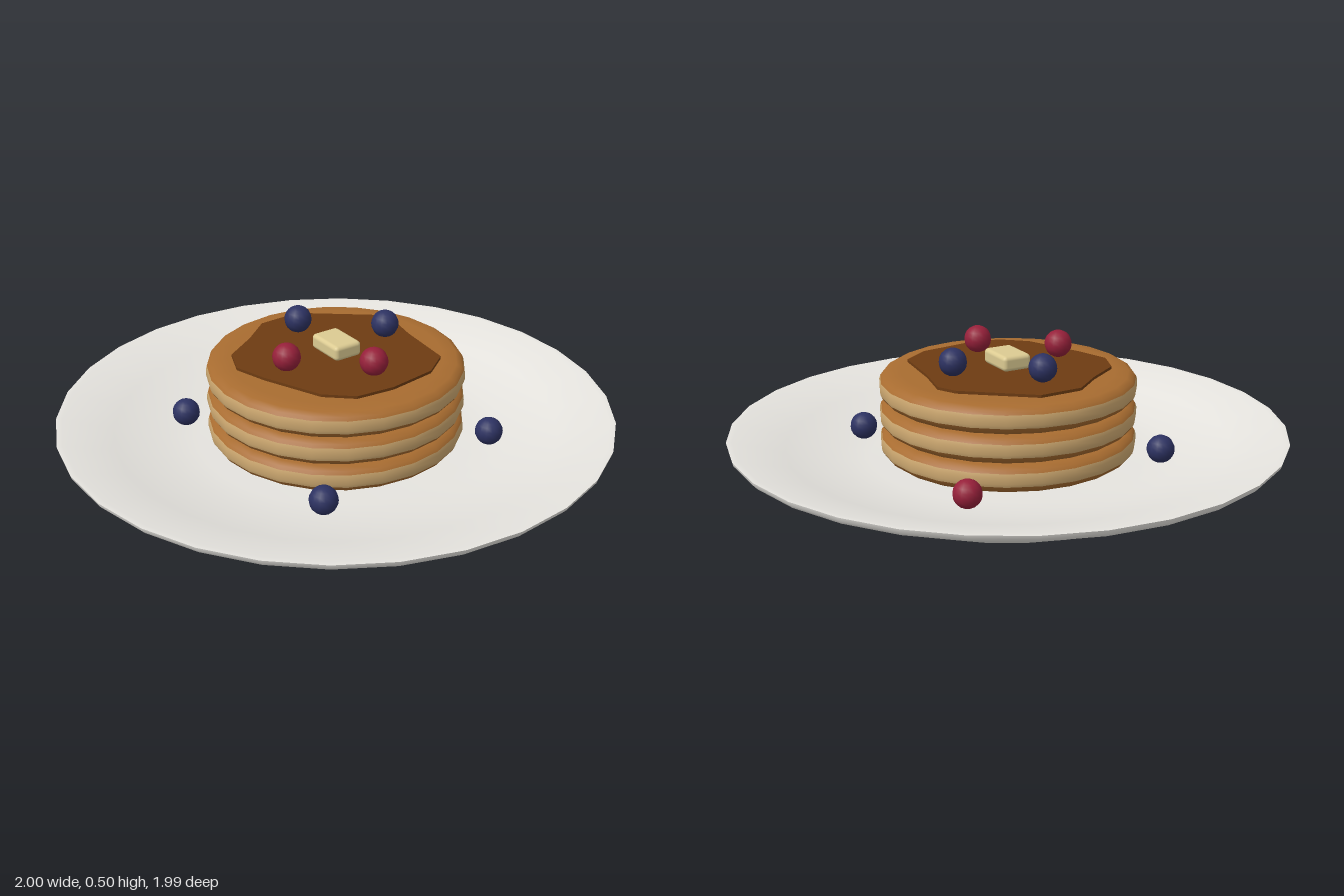
import * as THREE from 'three';
import { toCreasedNormals } from 'three/addons/utils/BufferGeometryUtils.js';
import { RoundedBoxGeometry } from 'three/addons/geometries/RoundedBoxGeometry.js';

const mat = (color) => new THREE.MeshStandardMaterial({ color });

function add(parent, name, geometry, material, x = 0, y = 0, z = 0) {
  const mesh = new THREE.Mesh(geometry, material);
  mesh.name = name;
  mesh.position.set(x, y, z);
  parent.add(mesh);
  return mesh;
}

// Revolve [radius, height] pairs, with a corner on the x axis
function lathe(points, sides) {
  return new THREE.LatheGeometry(points.map(([r, y]) => new THREE.Vector2(r, y)), sides, Math.PI / 2);
}

export function createModel() {
  const model = new THREE.Group();
  model.name = 'pancakePlate';

  const china = mat(0xe6e4df);
  const crust = mat(0xa86c30);
  const batter = mat(0xcda870);
  const syrup = mat(0x6e3c12);
  const butterYellow = mat(0xdccb92);
  const blue = mat(0x2d3262);
  const red = mat(0x96203a);

  // Plate: flat foot, flared underside, thin rim, shallow well
  const plate = lathe([
    [0, 0], [0.655, 0], [0.67, 0.01], [0.7, 0.045], [0.985, 0.15], [0.997, 0.163],
    [1, 0.175], [0.98, 0.175], [0.8, 0.125], [0.62, 0.082], [0.5, 0.075], [0, 0.075],
  ], 30);
  add(model, 'plate', toCreasedNormals(plate, 0.75), china);

  // Stack of pancakes: browned faces with a paler band around the edge
  const bottomFace = lathe([[0, 0], [0.39, 0], [0.43, 0.002], [0.449, 0.016], [0.457, 0.028]], 24);
  const edgeBand = lathe([[0.457, 0.028], [0.461, 0.04], [0.461, 0.062], [0.457, 0.075]], 24);
  const topFace = lathe([[0.457, 0.075], [0.449, 0.086], [0.43, 0.097], [0.38, 0.102], [0, 0.102]], 24);
  for (let i = 0; i < 3; i++) {
    const pancake = new THREE.Group();
    pancake.name = `pancake${i + 1}`;
    pancake.position.y = 0.083 + i * 0.102;
    add(pancake, 'bottomFace', bottomFace, crust);
    add(pancake, 'edgeBand', edgeBand, batter);
    add(pancake, 'topFace', topFace, crust);
    model.add(pancake);
  }

  // Irregular syrup pool, outline as [x, z]
  const pool = new THREE.Shape([
    [-0.11, -0.335], [0.03, -0.305], [0.245, -0.28], [0.315, -0.18], [0.34, 0], [0.325, 0.14],
    [0.245, 0.23], [0.03, 0.32], [-0.09, 0.355], [-0.19, 0.315], [-0.27, 0.19], [-0.355, 0.085],
    [-0.36, -0.075], [-0.26, -0.2], [-0.18, -0.3],
  ].map(([x, z]) => new THREE.Vector2(x, -z)));
  const poolGeometry = new THREE.ExtrudeGeometry(pool, { depth: 0.014, bevelEnabled: false });
  add(model, 'syrup', poolGeometry.rotateX(-Math.PI / 2), syrup, 0, 0.385, 0);

  // Butter pat
  add(model, 'butter', new RoundedBoxGeometry(0.155, 0.055, 0.11, 2, 0.015), butterYellow, 0, 0.426, -0.003);

  // Berries: four on the stack, four on the plate
  const berry = new THREE.SphereGeometry(0.05, 14, 10);
  const onStack = 0.446, onPlate = 0.125;
  [
    [-0.225, onStack, 0.01, blue], [-0.01, onStack, -0.225, blue],
    [0.22, onStack, -0.005, red], [0.02, onStack, 0.22, red],
    [-0.41, onPlate, -0.38, red], [0.385, onPlate, -0.4, blue],
    [0.43, onPlate, 0.35, blue], [-0.365, onPlate, 0.415, blue],
  ].forEach(([x, y, z, material]) => {
    add(model, material === red ? 'redBerry' : 'blueBerry', berry, material, x, y, z);
  });

  return model;
}
